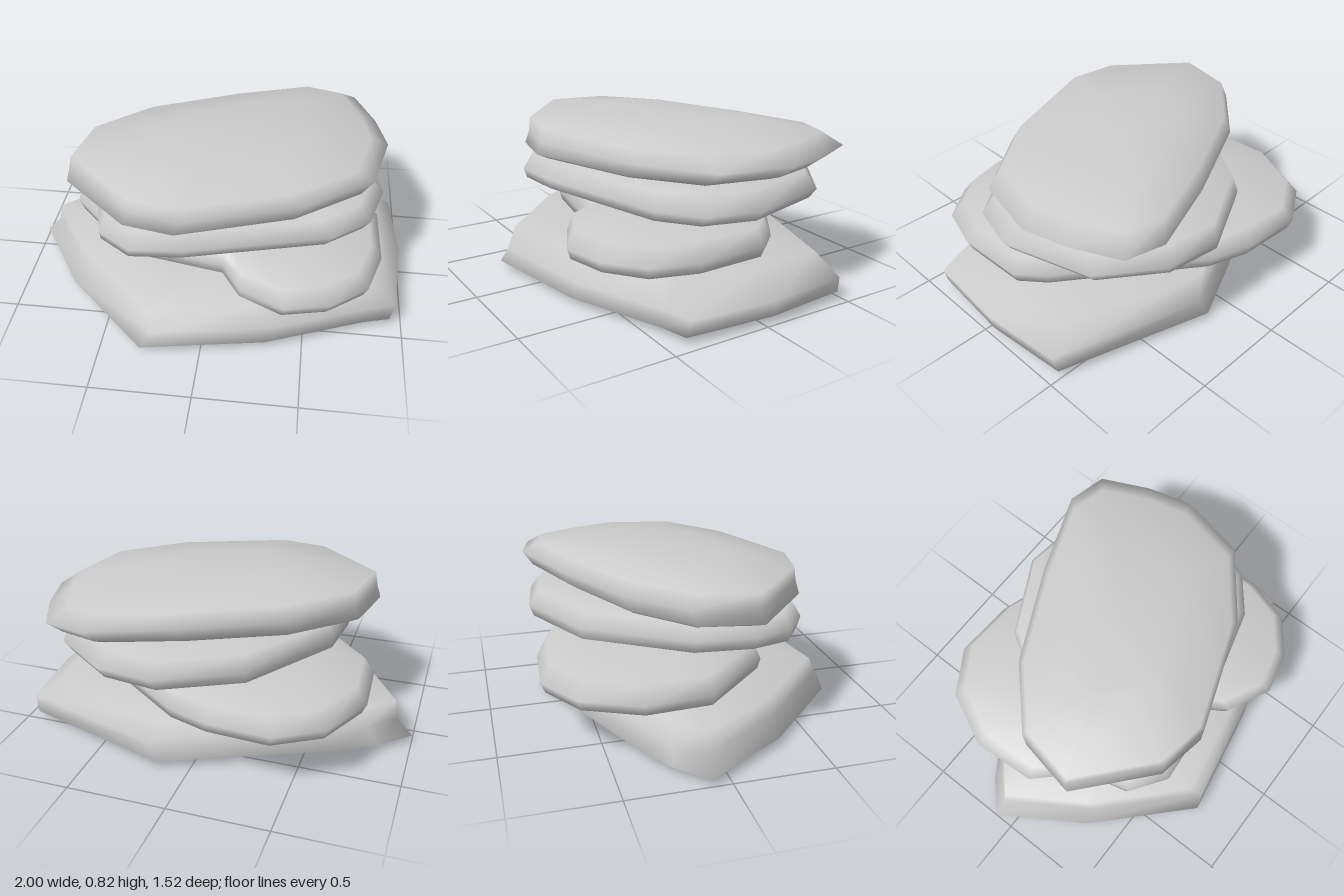
import * as THREE from 'three';

// Profiles hold [scale of the outline, fraction of the height, x shift, z shift], from bottom to top.
// Slab: spreading foot, bulging to the left at mid height.
const slabProfile = [
  [0.4, 0.01, 0, 0], [0.93, 0.1, 0, 0], [0.99, 0.14, -0.01, 0],
  [0.96, 0.5, 0.04, 0], [0.88, 0.91, -0.02, 0], [0.4, 0.99, 0, 0],
];

// Pebble: pointed rim; the shoulder sets how domed the top is, and the shift makes one side blunter.
function pebbleProfile(shoulder, shiftX, shiftZ) {
  return [
    [0.5, 0.01, 0, 0], [0.9, 0.07, shiftX, shiftZ], [0.97, 0.17, shiftX, shiftZ], [1, 0.46, 0, 0],
    [0.93, shoulder, shiftX, shiftZ], [0.5, 0.85 + 0.15 * shoulder, 0, 0],
  ];
}

const material = new THREE.MeshStandardMaterial({ color: 0xcccccc });

// Lofts a plan outline of [x, z] points through a profile, closed by a pole at each end
function stone(name, bottomY, topY, profile, outline, tilt = 0) {
  const n = outline.length;
  const plan = new THREE.Box2().setFromPoints(outline.map(([x, z]) => new THREE.Vector2(x, z)));
  const centre = plan.getCenter(new THREE.Vector2());
  const positions = [];
  const index = [];
  const addPoint = (x, z, t) => positions.push(x, bottomY + (topY - bottomY + tilt * x) * t, z);
  for (const [scale, t, shiftX, shiftZ] of profile) {
    for (const [x, z] of outline) {
      addPoint(centre.x + (x - centre.x) * scale + shiftX, centre.y + (z - centre.y) * scale + shiftZ, t);
    }
  }
  addPoint(centre.x, centre.y, 0);
  addPoint(centre.x, centre.y, 1);
  const bottom = profile.length * n;
  const lastRing = bottom - n;
  for (let i = 0; i < n; i++) {
    const k = (i + 1) % n;
    for (let ring = 0; ring < lastRing; ring += n) {
      const a = ring + i, b = ring + k, c = a + n, d = b + n;
      index.push(a, c, b, b, c, d);
    }
    index.push(bottom, i, k, lastRing + i, bottom + 1, lastRing + k);
  }
  const geometry = new THREE.BufferGeometry();
  geometry.setAttribute('position', new THREE.Float32BufferAttribute(positions, 3));
  geometry.setIndex(index);
  geometry.computeVertexNormals();
  const mesh = new THREE.Mesh(geometry, material);
  mesh.name = name;
  return mesh;
}

export function createModel() {
  const group = new THREE.Group();
  group.name = 'stoneStack';

  // Broad angular slab on the ground
  group.add(stone('baseStone', 0, 0.24, slabProfile, [
    [-1, -0.1], [-0.85, -0.24], [-0.67, -0.35], [0.17, -0.73], [0.96, -0.49], [1, -0.05],
    [0.96, 0.41], [0.82, 0.45], [0.33, 0.65], [-0.29, 0.76], [-0.73, 0.33],
  ]));

  // Flat stone with a narrow lobe reaching to the front left
  group.add(stone('lowerMiddleStone', 0.235, 0.432, pebbleProfile(0.84, 0, 0), [
    [-0.79, -0.35], [-0.66, -0.63], [-0.43, -0.77], [-0.11, -0.75], [0.1, -0.68], [0.76, -0.2],
    [0.86, -0.08], [0.87, 0.28], [0.8, 0.51], [0.62, 0.65], [0.4, 0.7], [0.18, 0.59],
    [0.08, 0.43], [-0.44, 0.33], [-0.77, -0.02],
  ]));

  // Smaller flat stone
  group.add(stone('upperMiddleStone', 0.418, 0.6, pebbleProfile(0.9, -0.02, 0), [
    [-0.58, 0.25], [-0.55, -0.05], [-0.23, -0.55], [0.16, -0.75], [0.45, -0.71], [0.74, -0.5],
    [0.87, -0.05], [0.8, 0.21], [0.61, 0.36], [-0.1, 0.55], [-0.36, 0.57], [-0.53, 0.45],
  ]));

  // Thick domed stone, blunt at the front right and sinking slightly towards its left
  group.add(stone('topStone', 0.595, 0.82, pebbleProfile(0.76, -0.04, 0.03), [
    [-0.72, 0.21], [-0.66, -0.1], [-0.38, -0.36], [0.1, -0.59], [0.51, -0.74], [0.71, -0.69],
    [0.82, -0.45], [0.88, -0.22], [0.8, 0.13], [0.47, 0.38], [-0.1, 0.58], [-0.36, 0.53],
  ], -0.025));

  return group;
}
